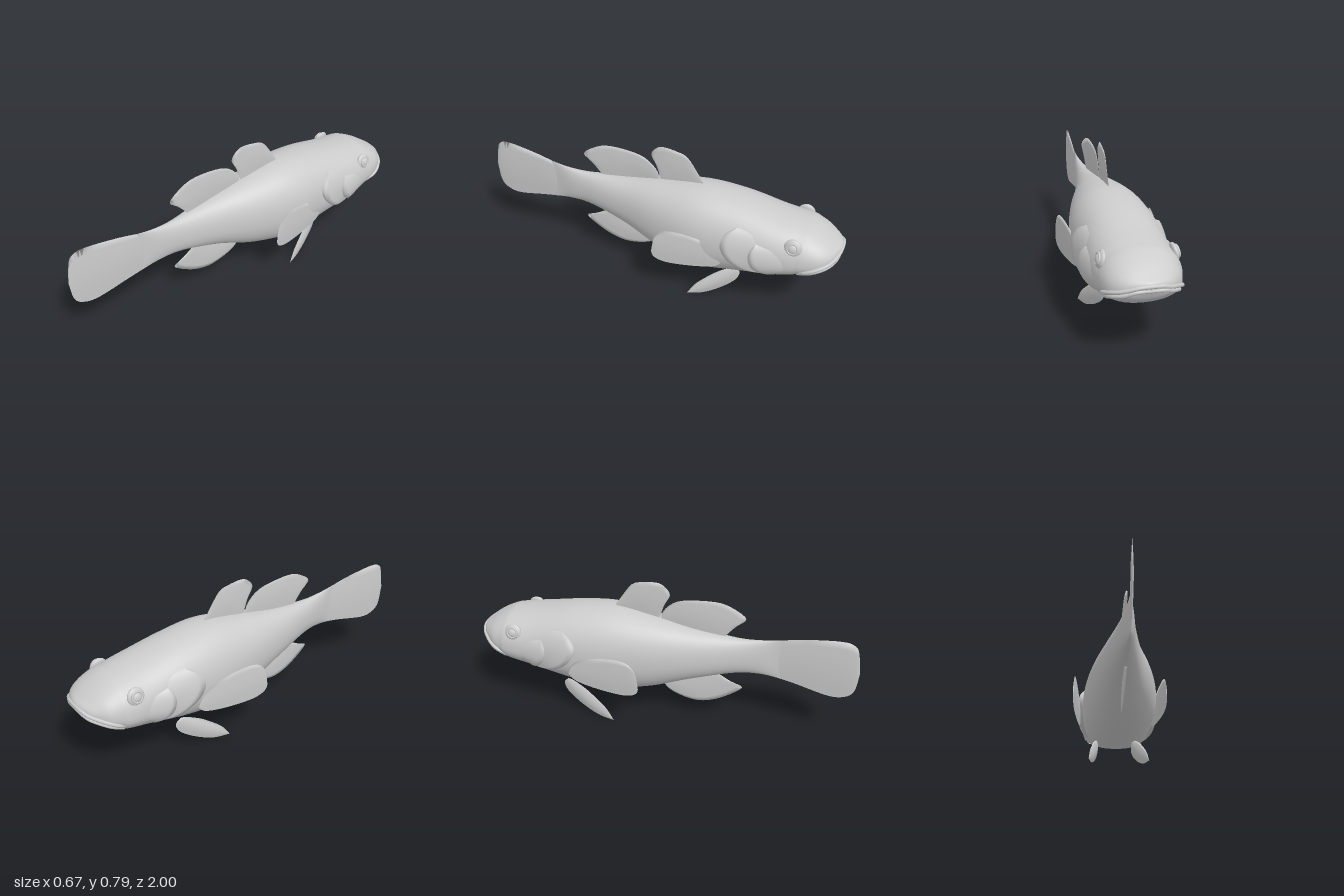
import * as THREE from 'three';
import { mergeVertices } from 'three/addons/utils/BufferGeometryUtils.js';

const V = (x, y, z) => new THREE.Vector3(x, y, z);
const material = new THREE.MeshStandardMaterial({ color: 0xcccccc, side: THREE.DoubleSide });

// Body stations from snout to tail: spine x, spine z, half width, top, bottom, widest level
const stations = [
  [0.178, -0.988, 0, 0.435, 0.415, 0.425],
  [0.176, -0.98, 0.055, 0.45, 0.395, 0.42],
  [0.17, -0.955, 0.115, 0.468, 0.355, 0.41],
  [0.158, -0.9, 0.168, 0.505, 0.315, 0.395],
  [0.14, -0.83, 0.193, 0.54, 0.285, 0.385],
  [0.122, -0.77, 0.202, 0.553, 0.26, 0.38],
  [0.098, -0.65, 0.207, 0.575, 0.225, 0.38],
  [0.045, -0.45, 0.21, 0.615, 0.175, 0.39],
  [0, -0.25, 0.205, 0.63, 0.15, 0.39],
  [-0.06, -0.04, 0.165, 0.6, 0.19, 0.4],
  [-0.12, 0.17, 0.105, 0.56, 0.27, 0.41],
  [-0.168, 0.388, 0.05, 0.535, 0.33, 0.43],
  [-0.195, 0.52, 0.024, 0.54, 0.338, 0.44],
  [-0.225, 0.64, 0, 0.56, 0.322, 0.44],
  [-0.275, 0.8, 0, 0.58, 0.3, 0.44],
  [-0.338, 1.0, 0, 0.6, 0.28, 0.44],
];
const spline = (pts) => new THREE.CatmullRomCurve3(pts, false, 'catmullrom', 0.5);
const plan = spline(stations.map((s) => V(s[0], s[2], s[1])));
const profile = spline(stations.map((s) => V(s[3], s[4], s[5])));
const BODY_END = 13 / 15;

// Spine parameter at a given z
function tAt(z) {
  let a = 0, b = 1;
  for (let i = 0; i < 30; i++) {
    const m = (a + b) / 2;
    if (plan.getPoint(m).z < z) a = m; else b = m;
  }
  return (a + b) / 2;
}
const spineX = (z) => plan.getPoint(tAt(z)).x;

// Cross-section frame: centre, sideways direction and heights
function section(t) {
  const p = plan.getPoint(t), h = profile.getPoint(t);
  const a = plan.getPoint(Math.max(0, t - 0.02)), b = plan.getPoint(Math.min(1, t + 0.02));
  const side = V(b.z - a.z, 0, a.x - b.x).normalize();
  return { p, side, hw: Math.max(0, p.y), top: h.x, bottom: h.y, mid: h.z };
}
const POWER = 0.9;
const bulge = (v) => Math.sign(v) * Math.pow(Math.abs(v), POWER);

// Point on the flank at station z and height y, pushed out by off
function skin(z, y, sgn, off = 0) {
  const s = section(tAt(z));
  const r = y > s.mid ? (y - s.mid) / (s.top - s.mid) : (s.mid - y) / (s.mid - s.bottom);
  const sin = Math.pow(Math.min(1, r), 1 / POWER);
  const w = s.hw * bulge(Math.sqrt(Math.max(0, 1 - sin * sin))) + off;
  return V(s.p.x, y, s.p.z).addScaledVector(s.side, sgn * w);
}

// Surface from a function of u and v
function grid(nu, nv, f) {
  const pos = [], index = [];
  for (let i = 0; i <= nu; i++) {
    for (let j = 0; j <= nv; j++) {
      pos.push(...f(i / nu, j / nv).toArray());
      if (i < nu && j < nv) {
        const a = i * (nv + 1) + j, b = a + nv + 1;
        index.push(a, a + 1, b, a + 1, b + 1, b);
      }
    }
  }
  const g = new THREE.BufferGeometry();
  g.setAttribute('position', new THREE.Float32BufferAttribute(pos, 3));
  g.setIndex(index);
  g.computeVertexNormals();
  return g;
}

function add(parent, name, geometry) {
  const m = new THREE.Mesh(geometry, material);
  m.name = name;
  parent.add(m);
  return m;
}

const edge = (pts) => spline(pts.map(([z, y]) => V(0, y, z)));

// Thin lens-shaped fin between two edge lines of [z, y] points; xOf bends it sideways
function fin(parent, name, lineA, lineB, xOf, thick = 0.006, shift = 0) {
  const A = edge(lineA), B = edge(lineB);
  return add(parent, name, grid(28, 16, (u, v) => {
    const w = v < 0.5 ? 2 * v : 2 - 2 * v;
    const p = A.getPoint(u).lerp(B.getPoint(u), w);
    p.x = xOf(p.z) + (v < 0.5 ? 1 : -1) * thick * Math.sin(Math.PI * w) * Math.sin(Math.PI * u);
    p.z += shift;
    return p;
  }));
}

// Raised plate lying on the flank, with a stepped rear edge
function plate(parent, name, rear, front, sgn, lift) {
  const R = edge(rear), F = edge(front);
  add(parent, name, grid(24, 12, (u, v) => {
    const p = R.getPoint(u).lerp(F.getPoint(u), v < 0.1 ? 0 : v);
    const off = v === 0 ? -0.01 : lift * Math.pow(Math.sin(Math.PI * u), 0.6) * (1 - v) - 0.003 * v;
    return skin(p.z - 0.05, p.y, sgn, off);
  }));
}

export function createModel() {
  const fish = new THREE.Group();
  fish.name = 'fish';

  // Body
  const body = grid(90, 48, (u, v) => {
    const s = section(u * BODY_END);
    const a = v * Math.PI * 2, sn = bulge(Math.sin(a));
    const y = s.mid + sn * (sn > 0 ? s.top - s.mid : s.mid - s.bottom);
    return V(s.p.x, y, s.p.z).addScaledVector(s.side, s.hw * bulge(Math.cos(a)));
  });
  const smooth = mergeVertices(body, 1e-5);
  smooth.deleteAttribute('normal');
  const welded = mergeVertices(smooth, 1e-5);
  welded.computeVertexNormals();
  add(fish, 'body', welded);

  // Fins along the spine
  fin(fish, 'frontDorsalFin',
    [[-0.26, 0.615], [-0.17, 0.6], [-0.09, 0.585], [-0.02, 0.575]],
    [[-0.26, 0.615], [-0.22, 0.68], [-0.16, 0.765], [-0.1, 0.787], [-0.03, 0.795], [0.01, 0.78], [0.04, 0.735], [0.01, 0.67], [-0.02, 0.575]], spineX);
  fin(fish, 'rearDorsalFin',
    [[-0.01, 0.58], [0.1, 0.56], [0.2, 0.54], [0.32, 0.53]],
    [[-0.01, 0.58], [0.01, 0.645], [0.08, 0.705], [0.19, 0.727], [0.3, 0.727], [0.38, 0.695], [0.43, 0.65], [0.38, 0.6], [0.32, 0.53]], spineX);
  fin(fish, 'analFin',
    [[0, 0.215], [0.1, 0.255], [0.2, 0.295], [0.28, 0.32]],
    [[0, 0.215], [0.03, 0.165], [0.1, 0.13], [0.19, 0.114], [0.27, 0.13], [0.35, 0.17], [0.43, 0.235], [0.37, 0.265], [0.28, 0.32]], spineX);
  fin(fish, 'tailFin',
    [[0.5, 0.36], [0.58, 0.335], [0.7, 0.31], [0.86, 0.275], [0.94, 0.285], [0.985, 0.33], [1, 0.44]],
    [[0.5, 0.52], [0.58, 0.545], [0.72, 0.58], [0.9, 0.605], [0.965, 0.588], [0.985, 0.54], [1, 0.44]], spineX, 0.008);

  // Pectoral fins, flared from the flanks
  const lower = [[-0.38, 0.3], [-0.34, 0.265], [-0.235, 0.245], [-0.1, 0.24], [-0.03, 0.255], [0, 0.29], [-0.005, 0.35]];
  const upper = [[-0.38, 0.3], [-0.355, 0.36], [-0.3, 0.405], [-0.18, 0.44], [-0.07, 0.445], [-0.02, 0.405], [-0.005, 0.35]];
  fin(fish, 'leftPectoralFin', lower, upper, (z) => 0.226 - (z + 0.37) * 0.1);
  fin(fish, 'rightPectoralFin', lower, upper, (z) => -0.172 - (z + 0.37) * 0.37, 0.006, -0.12);

  // Pelvic fins under the belly
  const front = [[-0.45, 0.2], [-0.475, 0.165], [-0.45, 0.11], [-0.37, 0.05], [-0.28, 0.01], [-0.195, 0.002]];
  const back = [[-0.45, 0.2], [-0.42, 0.195], [-0.35, 0.16], [-0.29, 0.115], [-0.235, 0.065], [-0.195, 0.002]];
  fin(fish, 'leftPelvicFin', front, back, (z) => 0.137 + (z + 0.45) * 0.06, 0.012);
  fin(fish, 'rightPelvicFin', front, back, (z) => -0.06 - (z + 0.45) * 0.45, 0.012, -0.07);

  for (const sgn of [1, -1]) {
    const label = sgn > 0 ? 'left' : 'right';

    // Gill cover and cheek plate
    plate(fish, label + 'GillCover',
      [[-0.44, 0.53], [-0.385, 0.49], [-0.365, 0.43], [-0.41, 0.355], [-0.5, 0.3], [-0.61, 0.285]],
      [[-0.44, 0.53], [-0.53, 0.51], [-0.57, 0.45], [-0.57, 0.39], [-0.58, 0.33], [-0.61, 0.285]], sgn, 0.03);
    plate(fish, label + 'Cheek',
      [[-0.545, 0.47], [-0.52, 0.42], [-0.53, 0.36], [-0.57, 0.31], [-0.64, 0.285]],
      [[-0.545, 0.47], [-0.63, 0.45], [-0.68, 0.4], [-0.69, 0.34], [-0.64, 0.285]], sgn, 0.028);

    // Eye: socket, rim and eyeball
    const eye = new THREE.Group();
    eye.name = label + 'Eye';
    const s = section(tAt(-0.765));
    eye.position.copy(skin(-0.765, 0.48, sgn));
    eye.lookAt(eye.position.clone().addScaledVector(s.side, sgn).add(V(0, 0.25, 0)));
    add(eye, 'socket', new THREE.SphereGeometry(0.046, 24, 16)).scale.z = 0.4;
    const rim = add(eye, 'rim', new THREE.TorusGeometry(0.027, 0.006, 10, 28));
    rim.position.z = 0.016;
    const ball = add(eye, 'eyeball', new THREE.SphereGeometry(0.025, 20, 14));
    ball.position.z = 0.014;
    ball.scale.z = 0.5;
    fish.add(eye);
  }

  // Lips wrapping around the snout
  const mouth = [[-0.82, 0.342], [-0.86, 0.362], [-0.9, 0.382], [-0.94, 0.4], [-0.968, 0.416], [-0.982, 0.43]];
  for (const [name, drop, off] of [['upperLip', 0, 0.003], ['lowerLip', 0.024, 0]]) {
    const flank = (sgn) => mouth.map(([z, y], i) => skin(z + drop * 0.3, y - drop, sgn, i === 0 ? -0.008 : off));
    const path = new THREE.CatmullRomCurve3([...flank(1), ...flank(-1).reverse()]);
    add(fish, name, new THREE.TubeGeometry(path, 70, 0.01, 8));
  }
  return fish;
}
